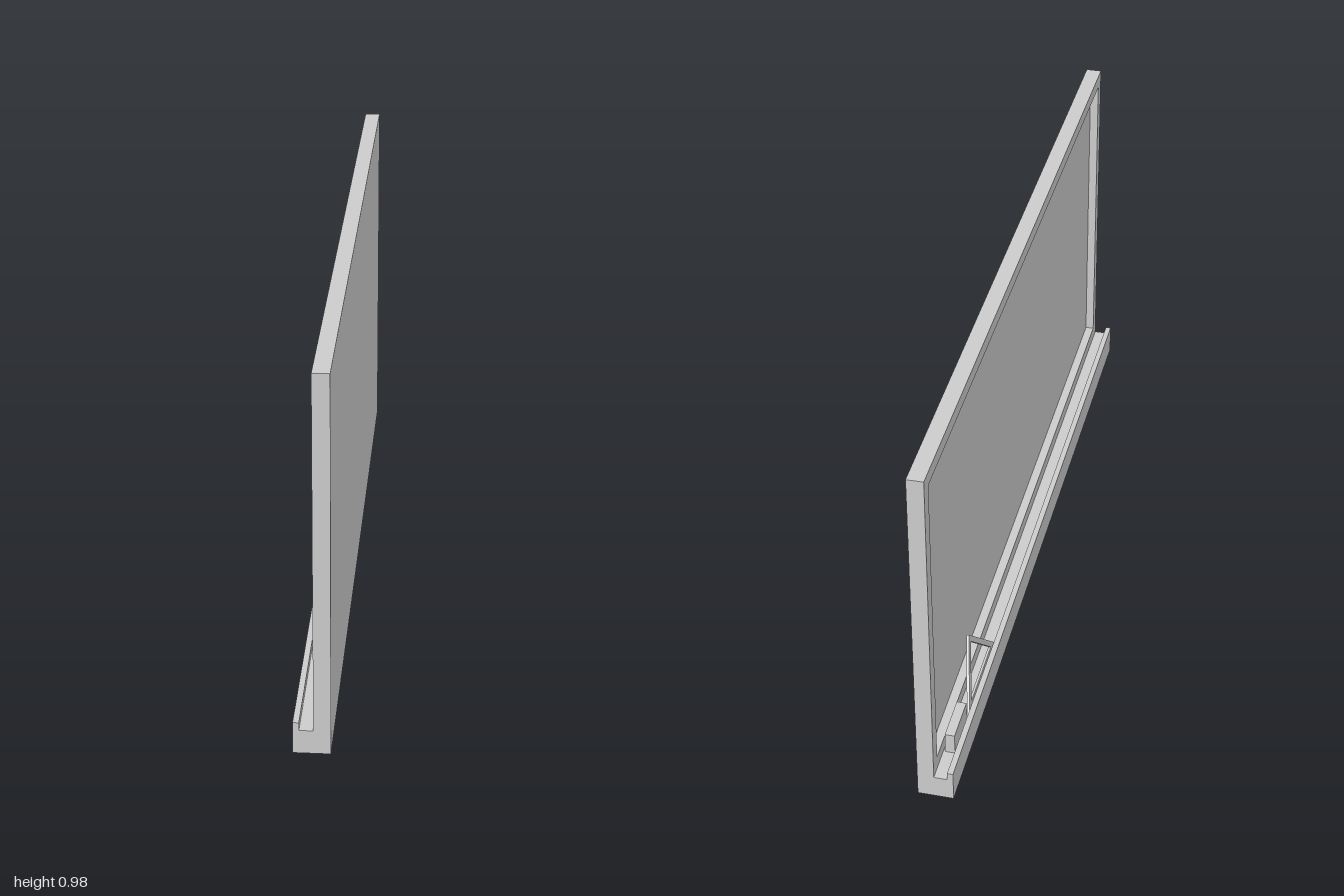
import * as THREE from 'three';

const material = new THREE.MeshStandardMaterial({ color: 0xcccccc, flatShading: true });

// Closed outline from [u, v] corners
const outline = (points, Type = THREE.Shape) => new Type(points.map(([u, v]) => new THREE.Vector2(u, v)));

const rect = (u0, u1, v0, v1) => [[u0, v0], [u1, v0], [u1, v1], [u0, v1]];

// Plate drawn in the (z, y) plane, growing from x = 0 towards -x
function sidePlate(points, hole, depth) {
  const shape = outline(points);
  if (hole) shape.holes.push(outline(hole, THREE.Path));
  const geometry = new THREE.ExtrudeGeometry(shape, { depth, bevelEnabled: false });
  return geometry.rotateY(-Math.PI / 2);
}

export function createModel() {
  const model = new THREE.Group();
  model.name = 'chalkboard';

  const add = (name, geometry, x = 0, y = 0, z = 0) => {
    const mesh = new THREE.Mesh(geometry, material);
    mesh.name = name;
    mesh.position.set(x, y, z);
    model.add(mesh);
    return mesh;
  };

  const height = 0.98, back = 0.045, face = 0.003, recess = 0.026;
  const border = 0.036, trayFloor = 0.062;

  // Back panel, whose inner side is the writing surface
  add('writingPanel', new THREE.BoxGeometry(back - recess, height, 2), (back + recess) / 2, height / 2, 0);

  // Raised frame around the writing surface
  const opening = rect(-1 + border, 1 - border, trayFloor + border, height - border);
  add('frame', sidePlate(rect(-1, 1, 0, height), opening, recess - face), recess);

  // Chalk tray with an upright lip, running the full length
  const trayProfile = outline([
    [-0.046, 0], [face, 0], [face, trayFloor], [-0.031, trayFloor], [-0.031, 0.083], [-0.046, 0.083],
  ]);
  add('chalkTray', new THREE.ExtrudeGeometry(trayProfile, { depth: 2, bevelEnabled: false }), 0, 0, -1);

  // Eraser block standing in the tray
  add('eraser', new THREE.BoxGeometry(0.025, 0.058, 0.12), -0.0145, trayFloor + 0.029, -0.847);

  // Hollow set square leaning against the frame
  const half = 0.14, rise = 0.146, bar = 0.015;
  const triangle = [[-half, 0], [half, 0], [0, rise]];
  const inner = 1 - bar * (2 * half + 2 * Math.hypot(half, rise)) / (2 * half * rise);
  const hole = triangle.map(([u, v]) => [u * inner, bar + v * inner]);
  const setSquare = add('setSquare', sidePlate(triangle, hole, 0.007), -0.023, trayFloor, -0.63);
  setSquare.rotation.z = -0.235;

  return model;
}
